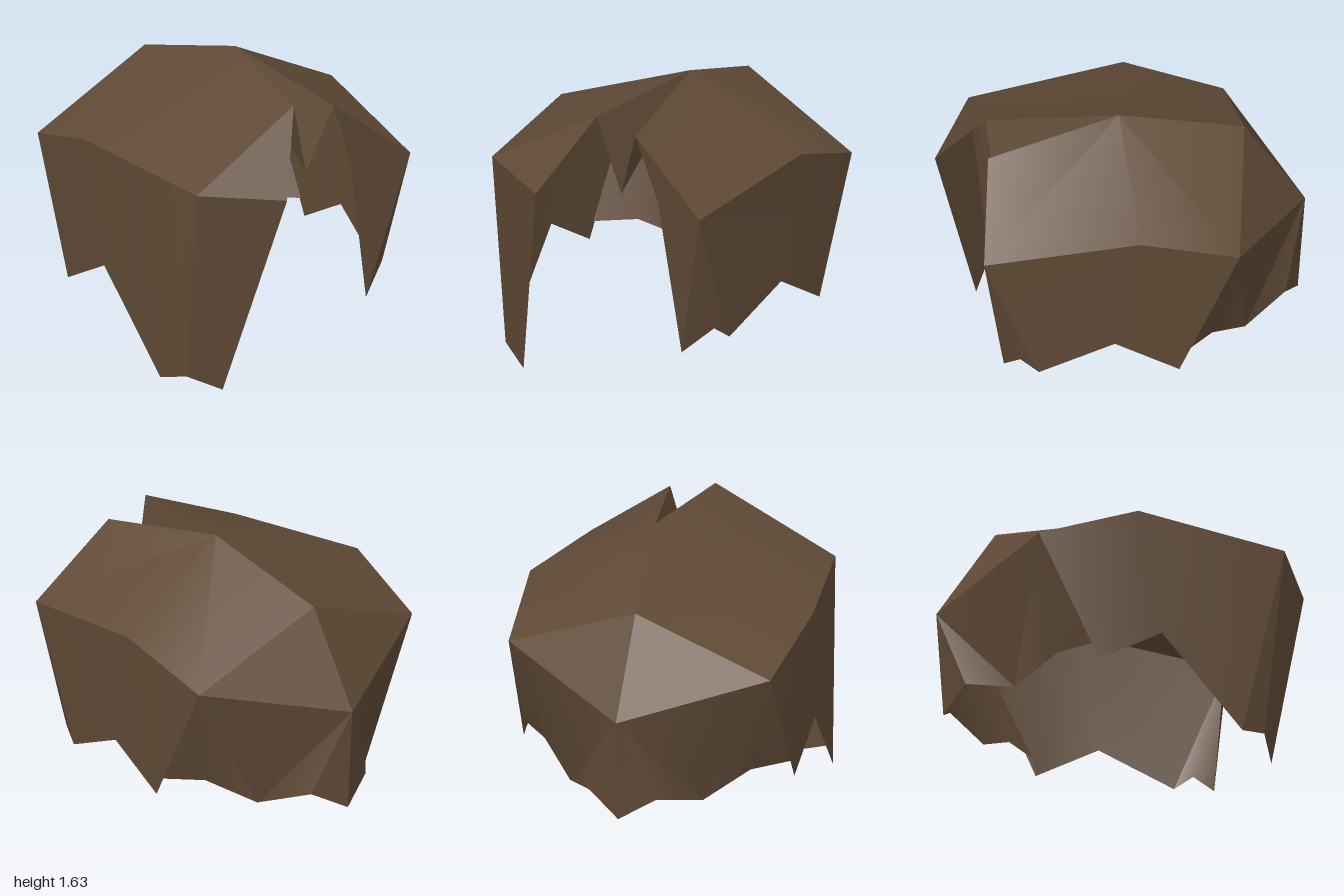
import * as THREE from 'three';
import { toCreasedNormals } from 'three/addons/utils/BufferGeometryUtils.js';

const CENTRE = new THREE.Vector3(0, 0.8, 0);

// Each fan is [apex, rim point, rim point, ...]; triangles are turned to face outward
function panel(name, fans, material) {
  const pos = [];
  for (const [apex, ...rim] of fans) {
    for (let i = 0; i < rim.length - 1; i++) {
      const t = [apex, rim[i], rim[i + 1]].map((p) => new THREE.Vector3(...p));
      const tri = new THREE.Triangle(...t);
      const out = tri.getMidpoint(new THREE.Vector3()).sub(CENTRE);
      if (tri.getNormal(new THREE.Vector3()).dot(out) < 0) t.reverse();
      for (const v of t) pos.push(v.x, v.y, v.z);
    }
  }
  const geo = new THREE.BufferGeometry();
  geo.setAttribute('position', new THREE.Float32BufferAttribute(pos, 3));
  const mesh = new THREE.Mesh(toCreasedNormals(geo, 0.5), material);
  mesh.name = name;
  return mesh;
}

const mirror = ([x, y, z]) => [-x, y, z];

export function createModel() {
  const hair = new THREE.MeshStandardMaterial({ color: 0x604a36, side: THREE.DoubleSide });
  hair.name = 'brown hair';

  // Crown and parting
  const crown = [0.12, 1.63, 0.02];
  const partRight = [0.02, 1.55, 0.74];
  const partLeft = [0.28, 1.49, 0.74];
  const fringeTip = [0.14, 1.11, 0.68];
  const backTop = [0, 1.43, -0.67];
  const backMid = [0, 0.92, -1];
  const nape = [0, 0.32, -0.96];

  // Widest ring of the head; the left side is mirrored where both sides match
  const sideL = [0.81, 1.27, -0.06], backL = [0.75, 1.11, -0.6];
  const templeL = [0.75, 1.12, 0.79], templeR = [-0.65, 1.19, 0.79];
  const innerL = [0.41, 1.13, 0.71], innerR = [-0.2, 1.13, 1];
  const sideR = mirror(sideL), backR = mirror(backL);

  // Jagged hem
  const lockL = [[0.54, 0.28, 0.67], [0.7, 0.43, 0.59], [0.73, 0.36, 0.49]];
  const lockR = [[-0.46, 0, 0.76], [-0.64, 0.09, 0.68], [-0.72, 0.06, 0.54]];
  const notch = [0.775, 0.57, 0.08];
  const earTip = [0.775, 0.38, -0.27];
  const backHem = [[0.765, 0.48, -0.29], [0.59, 0.48, -0.46], [0.38, 0.35, -0.65]];
  const napeNotch = [0.19, 0.43, -0.88];

  const group = new THREE.Group();
  group.name = 'hair';
  group.add(
    panel('crownLeft', [[crown, partLeft, templeL, sideL, backL, backTop]], hair),
    panel('crownRight', [[crown, partRight, templeR, sideR, backR, backTop]], hair),
    panel('fringe', [[fringeTip, partRight, crown, partLeft]], hair),
    panel('frontLockLeft', [[templeL, partLeft, innerL, ...lockL]], hair),
    panel('frontLockRight', [[templeR, partRight, innerR, ...lockR]], hair),
    panel('sideLeft', [[sideL, templeL, lockL[2], notch, earTip, backL]], hair),
    panel('sideRight', [[sideR, templeR, lockR[2], mirror(notch), mirror(earTip), backR]], hair),
  );

  // Back of the head, one half per side
  const backFans = [
    [backL, earTip, ...backHem, backMid, backTop],
    [backMid, backHem[2], napeNotch, nape],
  ];
  group.add(
    panel('backLeft', backFans, hair),
    panel('backRight', backFans.map((fan) => fan.map(mirror)), hair),
  );
  return group;
}
